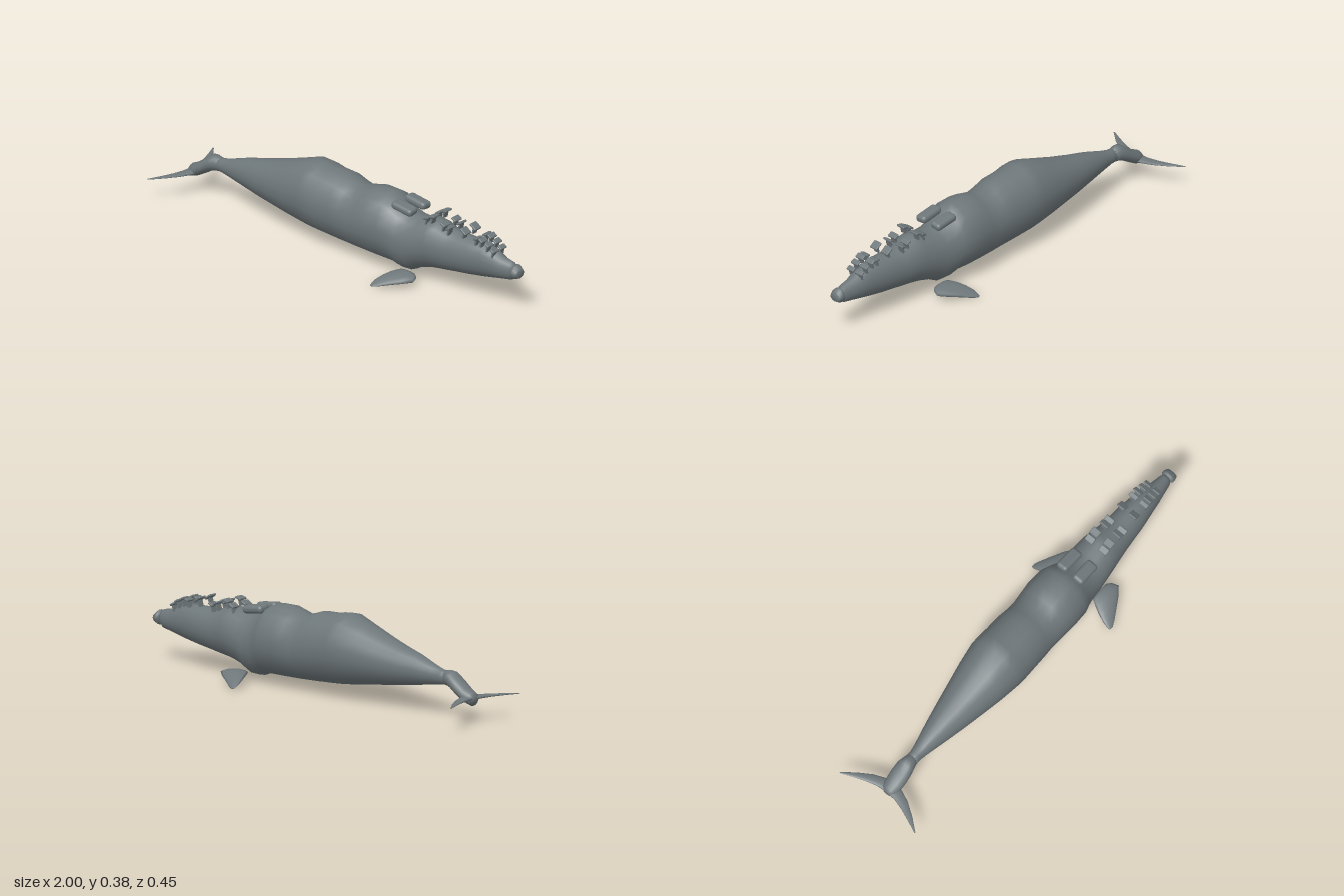
import * as THREE from 'three';
import { RoundedBoxGeometry } from 'three/addons/geometries/RoundedBoxGeometry.js';

const slate = new THREE.MeshStandardMaterial({ color: 0x6e777a });
slate.name = 'slate grey';

// Skin a list of closed rings (arrays of [x, y, z]) into a smooth surface with closed ends.
function loft(rings) {
  const n = rings[0].length;
  const pos = rings.flat(2);
  const index = [];
  for (let i = 0; i < rings.length - 1; i++) {
    for (let j = 0; j < n; j++) {
      const a = i * n + j, b = i * n + (j + 1) % n;
      index.push(a, b, a + n, b, b + n, a + n);
    }
  }
  // end caps fan out from the centre of each end ring
  [[0, true], [rings.length - 1, false]].forEach(([r, start]) => {
    const c = pos.length / 3;
    for (let k = 0; k < 3; k++) pos.push(rings[r].reduce((s, p) => s + p[k], 0) / n);
    for (let j = 0; j < n; j++) {
      const a = r * n + j, b = r * n + (j + 1) % n;
      index.push(...(start ? [c, b, a] : [c, a, b]));
    }
  });
  const g = new THREE.BufferGeometry();
  g.setAttribute('position', new THREE.Float32BufferAttribute(pos, 3));
  g.setIndex(index);
  g.computeVertexNormals();
  return g;
}

// Ring standing across x: [x, bottom, top, half width]
function bodyRing([x, y0, y1, w], sides = 18) {
  return Array.from({ length: sides }, (_, j) => {
    const a = j / sides * Math.PI * 2;
    return [x, (y0 + y1) / 2 + (y1 - y0) / 2 * Math.cos(a), w * Math.sin(a)];
  });
}

// Ring standing across z: [z, rear x, front x, y, half thickness]
function finRing([z, x0, x1, y, t], sides = 12) {
  return Array.from({ length: sides }, (_, j) => {
    const a = j / sides * Math.PI * 2;
    return [(x0 + x1) / 2 + (x1 - x0) / 2 * Math.cos(a), y + t * Math.sin(a), z];
  });
}

export function createModel() {
  const model = new THREE.Group();
  const add = (name, geometry, parent = model) => {
    const m = new THREE.Mesh(geometry, slate);
    m.name = name;
    parent.add(m);
    return m;
  };

  // Long body with humps along the back
  const body = [
    [-0.78, 0.150, 0.212, 0.030], [-0.74, 0.146, 0.215, 0.028], [-0.70, 0.140, 0.226, 0.036],
    [-0.60, 0.124, 0.260, 0.060], [-0.50, 0.108, 0.286, 0.082], [-0.40, 0.094, 0.316, 0.102],
    [-0.30, 0.080, 0.350, 0.122], [-0.20, 0.066, 0.386, 0.137], [-0.15, 0.060, 0.384, 0.138],
    [-0.10, 0.057, 0.374, 0.136], [-0.02, 0.052, 0.371, 0.134], [0.03, 0.050, 0.354, 0.130],
    [0.08, 0.048, 0.341, 0.130], [0.13, 0.047, 0.354, 0.134], [0.18, 0.046, 0.367, 0.138],
    [0.26, 0.045, 0.366, 0.136], [0.30, 0.043, 0.345, 0.122], [0.34, 0.028, 0.316, 0.110],
    [0.39, 0.030, 0.302, 0.106], [0.44, 0.058, 0.300, 0.102], [0.50, 0.076, 0.315, 0.096],
    [0.54, 0.083, 0.312, 0.090], [0.60, 0.091, 0.290, 0.080], [0.66, 0.100, 0.286, 0.074],
    [0.72, 0.108, 0.286, 0.069], [0.80, 0.121, 0.284, 0.057], [0.86, 0.133, 0.263, 0.047],
    [0.90, 0.141, 0.243, 0.038], [0.95, 0.150, 0.235, 0.029], [0.966, 0.165, 0.222, 0.020],
  ];
  add('body', loft(body.map(r => bodyRing(r))));

  // Tail stock bending down to the flukes
  const stock = [
    [-0.935, 0.092, 0.118, 0.018], [-0.925, 0.077, 0.138, 0.034], [-0.89, 0.088, 0.154, 0.042],
    [-0.85, 0.111, 0.184, 0.044], [-0.81, 0.135, 0.215, 0.041], [-0.785, 0.145, 0.219, 0.034],
    [-0.75, 0.150, 0.212, 0.026],
  ];
  add('tailStock', loft(stock.map(r => bodyRing(r, 14))));

  // Flukes: one swept crescent, tip to tip
  const half = [
    [0.01, -0.935, -0.875, 0.111, 0.012], [0.05, -0.938, -0.885, 0.111, 0.009],
    [0.10, -0.952, -0.907, 0.111, 0.006], [0.16, -0.975, -0.947, 0.111, 0.004],
    [0.217, -1.0, -0.993, 0.111, 0.002],
  ];
  const mirrored = half.map(([z, ...r]) => [-z, ...r]).reverse();
  add('flukes', loft([...mirrored, ...half].map(r => finRing(r))));

  // Flippers slanting down and back
  const flipper = [
    [0.084, 0.365, 0.455, 0.048, 0.010], [0.10, 0.355, 0.475, 0.046, 0.014],
    [0.13, 0.338, 0.487, 0.041, 0.016], [0.16, 0.325, 0.450, 0.033, 0.014],
    [0.19, 0.315, 0.400, 0.022, 0.011], [0.215, 0.312, 0.358, 0.010, 0.006],
    [0.227, 0.315, 0.333, 0.005, 0.003],
  ];
  add('leftFlipper', loft(flipper.map(r => finRing(r))));
  add('rightFlipper', loft(flipper.map(([z, ...r]) => finRing([-z, ...r])).reverse()));

  // Blunt nose knob
  const nose = [
    [0.962, 0.168, 0.220, 0.024], [0.970, 0.160, 0.230, 0.034], [0.980, 0.162, 0.228, 0.034],
    [0.993, 0.168, 0.216, 0.030], [1.0, 0.173, 0.211, 0.026],
  ];
  add('nose', loft(nose.map(r => bodyRing(r, 12))));

  // Paired plates on the head: small ones are a tilted cap on a stem
  // [x, y of cap, length, tilt, inner z, outer z]
  const plates = [
    [0.493, 0.325, 0.032, 0.5, 0.018, 0.062], [0.527, 0.342, 0.034, 0.25, 0.018, 0.062],
    [0.590, 0.322, 0.028, -0.5, 0.014, 0.060], [0.620, 0.312, 0.026, 0.5, 0.014, 0.060],
    [0.705, 0.322, 0.040, -0.6, 0.012, 0.054], [0.775, 0.308, 0.022, 0.3, 0.008, 0.052],
    [0.805, 0.308, 0.026, -0.6, 0.008, 0.052], [0.838, 0.294, 0.026, -0.5, 0.006, 0.048],
    [0.868, 0.274, 0.024, -0.6, 0.006, 0.046],
  ];
  for (const side of [1, -1]) {
    const label = side > 0 ? 'left' : 'right';

    // large plate behind the head
    const large = add(label + 'LargePlate', new RoundedBoxGeometry(0.118, 0.036, 0.058, 3, 0.016));
    large.position.set(0.357, 0.331, side * 0.045);
    large.rotation.set(side * 0.1, 0, -0.13);

    const row = new THREE.Group();
    row.name = label + 'SmallPlates';
    model.add(row);
    for (const [x, y, len, tilt, z0, z1] of plates) {
      const z = side * (z0 + z1) / 2, w = z1 - z0;
      const cap = add('plateCap', new RoundedBoxGeometry(len, 0.010, w, 2, 0.004), row);
      cap.position.set(x, y, z);
      cap.rotation.z = tilt;
      const stem = add('plateStem', new THREE.BoxGeometry(0.008, 0.036, w * 0.6), row);
      stem.position.set(x - 0.003, y - 0.017, z);
      stem.rotation.z = -0.25;
    }
  }
  return model;
}
